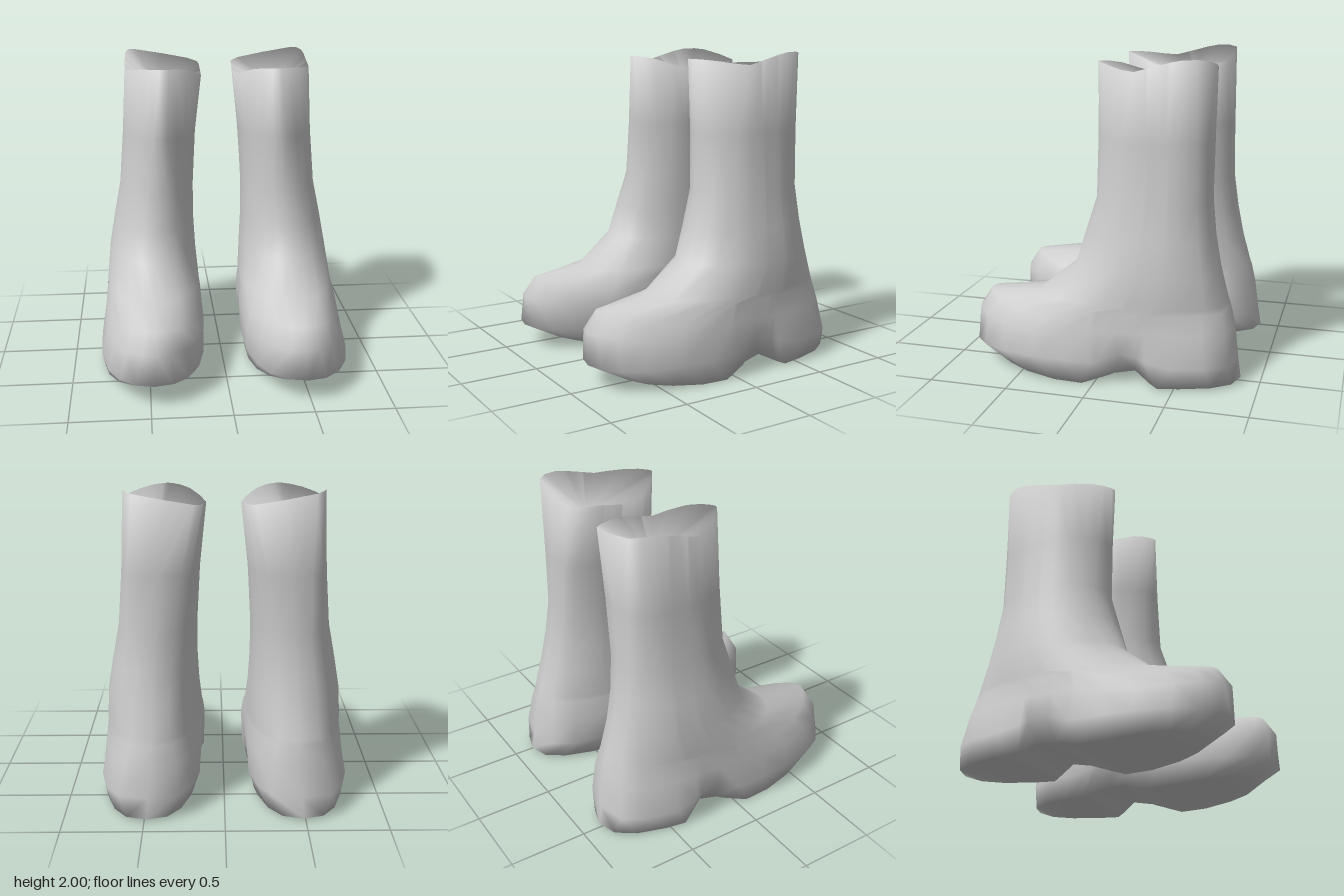
import * as THREE from 'three';

// Stations from heel (-1) to toe (+1), closer together at the ends and the arch
const T = [-1, -0.95, -0.8, -0.56, -0.39, -0.325, -0.19, -0.025, 0.01,
  0.22, 0.45, 0.7, 0.87, 0.97, 1];
const K = T.length, N = 2 * K - 2;

// Horizontal sections: y, inner x, outer x, back z, front z, widest z, back and front roundness
const SECTIONS = [
  [0.00, 0.170, 0.800, -0.875, 0.68, 0.15, 2.6, 2.4],
  [0.15, 0.135, 0.815, -0.855, 0.87, 0.22, 3.4, 2.3],
  [0.35, 0.130, 0.785, -0.830, 0.87, 0.20, 3.0, 2.0],
  [0.47, 0.140, 0.772, -0.803, 0.79, 0.10, 2.6, 1.8],
  [0.505, 0.145, 0.768, -0.790, 0.44, -0.05, 2.5, 1.9],
  [0.70, 0.160, 0.750, -0.735, 0.20, -0.20, 2.4, 2.0],
  [0.90, 0.170, 0.715, -0.697, 0.14, -0.23, 2.4, 2.0],
  [1.13, 0.170, 0.670, -0.668, 0.07, -0.25, 2.6, 2.0],
  [1.50, 0.150, 0.640, -0.665, 0.07, -0.25, 3.2, 1.7],
  [2.00, 0.110, 0.615, -0.660, 0.08, -0.20, 5.0, 1.35],
];

// Underside profile (z, y): heel, arch, ball and raised toe
const SOLE = [[-0.87, 0.02], [-0.37, 0.01], [-0.32, 0.06], [-0.21, 0.09], [-0.08, 0.05],
  [-0.05, 0.01], [0.17, 0], [0.65, 0.05], [0.87, 0.15]];

function soleHeight(z) {
  for (let i = 1; i < SOLE.length; i++) {
    const [z0, y0] = SOLE[i - 1], [z1, y1] = SOLE[i];
    if (z <= z1) return y0 + (y1 - y0) * Math.max(0, (z - z0) / (z1 - z0));
  }
  return SOLE[SOLE.length - 1][1];
}

const bump = (z, centre, reach) => Math.max(0, 1 - Math.abs(z - centre) / reach);

function sectionPoint(row, k) {
  const [y0, xin, xout, zb, zf, zc, nb, nf] = SECTIONS[row];
  const outer = k < K;
  const t = T[outer ? k : N - k];
  const z = zb + (zf - zb) * (t + 1) / 2;
  const s = Math.min(1, z < zc ? (zc - z) / (zc - zb) : (z - zc) / (zf - zc));
  const n = z < zc ? nb : nf;
  let u = Math.pow(Math.max(0, 1 - Math.pow(s, n)), 1 / n) * (outer ? 1 : -1);
  let y = y0;
  const arch = bump(z, -0.2, 0.2);
  if (row === 0) {
    // the waist between heel and ball is tucked in
    y = soleHeight(z);
    u *= 1 - 0.4 * arch;
  } else if (row === 1) {
    y += 0.08 * arch;
    u *= 1 - 0.12 * arch;
  } else if (row === 2 || row === 3) {
    // domed toe: the upper edges fall away to the sides
    y -= (row === 2 ? 0.06 : 0.12) * u * u * THREE.MathUtils.clamp(z / 0.4, 0, 1);
  } else if (row === SECTIONS.length - 1) {
    // wavy rim: dips at the sides, lowest inside, highest at the outer back
    const back = THREE.MathUtils.clamp((-0.2 - z) / 0.35, 0, 1);
    y = 1.96 + 0.045 * u * back - (0.065 - 0.025 * u) * Math.abs(u) * bump(z, -0.19, 0.28);
  }
  return [(xin + xout) / 2 + u * (xout - xin) / 2, y, z];
}

function bootGeometry(side) {
  const pos = [], index = [];
  const tri = (a, b, c) => (side > 0 ? index.push(a, b, c) : index.push(a, c, b));
  const add = ([x, y, z]) => pos.push(side * x, y, z);
  const rows = SECTIONS.length;

  for (let r = 0; r < rows; r++) for (let k = 0; k < N; k++) add(sectionPoint(r, k));

  // outer wall
  for (let r = 0; r < rows - 1; r++) for (let k = 0; k < N; k++) {
    const a = r * N + k, b = r * N + (k + 1) % N;
    tri(a, a + N, b);
    tri(b, a + N, b + N);
  }
  // underside, joined straight across
  for (let k = 0; k < K - 1; k++) {
    const a = k, b = k + 1, c = N - k - 1, d = (N - k) % N;
    if (b !== c) tri(a, b, c);
    if (a !== d) tri(a, c, d);
  }
  // hollow opening, sinking to a point
  add([0.4, 1.76, -0.4]);
  const top = (rows - 1) * N;
  for (let k = 0; k < N; k++) tri(top + (k + 1) % N, top + k, rows * N);

  const g = new THREE.BufferGeometry();
  g.setAttribute('position', new THREE.Float32BufferAttribute(pos, 3));
  g.setIndex(index);
  g.computeVertexNormals();
  return g;
}

export function createModel() {
  const group = new THREE.Group();
  group.name = 'boots';
  const material = new THREE.MeshStandardMaterial({ color: 0xcccccc });
  for (const [name, side] of [['leftBoot', 1], ['rightBoot', -1]]) {
    const mesh = new THREE.Mesh(bootGeometry(side), material);
    mesh.name = name;
    group.add(mesh);
  }
  return group;
}
